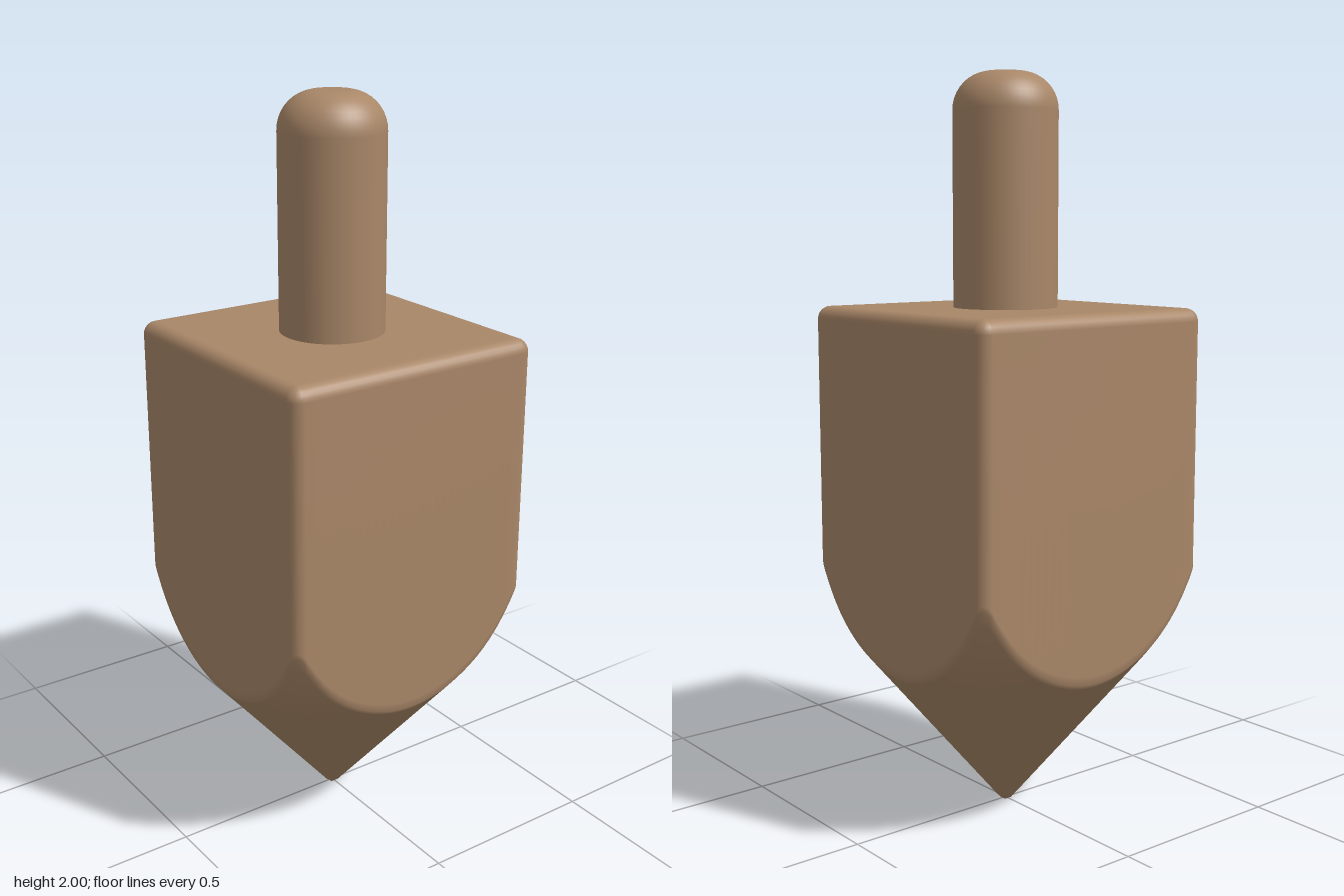
import * as THREE from 'three';

const HALF = 0.373, TOP = 1.385, ROUND = 0.035;

// Height of the pointed underside at distance r from the axis
function undersideHeight(r) {
  return Math.max(0, (r - 0.015) * 1.2) + 30 * Math.max(0, r - HALF) ** 3;
}

// Columns around the rounded square: a corner centre plus a rounding direction
function squareOutline() {
  const columns = [], c = HALF - ROUND, flats = 28, arcs = 6;
  for (let side = 0; side < 4; side++) {
    const turn = side * Math.PI / 2;
    const add = (x, y, a) => columns.push({
      base: new THREE.Vector2(x, y).rotateAround(new THREE.Vector2(), turn),
      dir: new THREE.Vector2(Math.cos(a + turn), Math.sin(a + turn)),
    });
    for (let i = 0; i < flats; i++) add(c, -c + 2 * c * i / flats, 0);
    for (let i = 0; i < arcs; i++) add(c, c, i / arcs * Math.PI / 2);
  }
  return columns;
}

// Square body whose underside is a turned point
function bodyGeometry() {
  const columns = squareOutline(), rings = [];
  const outline = (col, rad) => col.base.clone().addScaledVector(col.dir, rad);
  const ring = (fn) => rings.push(columns.map(fn));
  // turned point, from the axis out to the walls
  for (const s of [0, 0.03, 0.06, 0.15, 0.3, 0.45, 0.6, 0.72, 0.82, 0.9, 0.97, 1]) {
    ring((col) => {
      const p = outline(col, ROUND).multiplyScalar(s);
      return [p.x, undersideHeight(p.length()), p.y];
    });
  }
  // flat walls
  for (const t of [0.025, 0.5, 1]) {
    ring((col) => {
      const p = outline(col, ROUND), low = undersideHeight(p.length());
      return [p.x, low + (TOP - ROUND - low) * t, p.y];
    });
  }
  // rounded top edge
  for (let i = 1; i <= 6; i++) {
    const a = i / 6 * Math.PI / 2;
    ring((col) => {
      const p = outline(col, ROUND * Math.cos(a));
      return [p.x, TOP - ROUND + ROUND * Math.sin(a), p.y];
    });
  }
  // flat top
  for (const s of [0.96, 0]) {
    ring((col) => [col.base.x * s, TOP, col.base.y * s]);
  }
  const n = columns.length, index = [];
  for (let j = 0; j < rings.length - 1; j++) {
    for (let i = 0; i < n; i++) {
      const a = j * n + i, b = j * n + (i + 1) % n;
      index.push(a, a + n, b, b, a + n, b + n);
    }
  }
  const geometry = new THREE.BufferGeometry();
  geometry.setAttribute('position', new THREE.Float32BufferAttribute(rings.flat(2), 3));
  geometry.setIndex(index);
  geometry.computeVertexNormals();
  return geometry;
}

// Round handle with a softened end
function stemGeometry() {
  const radius = 0.14, fillet = 0.1, profile = [new THREE.Vector2(radius, TOP - 0.03)];
  for (let i = 0; i <= 10; i++) {
    const a = i / 10 * Math.PI / 2;
    profile.push(new THREE.Vector2(radius - fillet + fillet * Math.cos(a), 2 - fillet + fillet * Math.sin(a)));
  }
  profile.push(new THREE.Vector2(0, 2));
  return new THREE.LatheGeometry(profile, 48);
}

export function createModel() {
  const wood = new THREE.MeshStandardMaterial({ color: 0xa98768 });
  wood.name = 'wood';
  const model = new THREE.Group();
  model.name = 'spinningTop';
  const add = (name, geometry) => {
    const mesh = new THREE.Mesh(geometry, wood);
    mesh.name = name;
    model.add(mesh);
  };
  add('body', bodyGeometry());
  add('stem', stemGeometry());
  return model;
}
